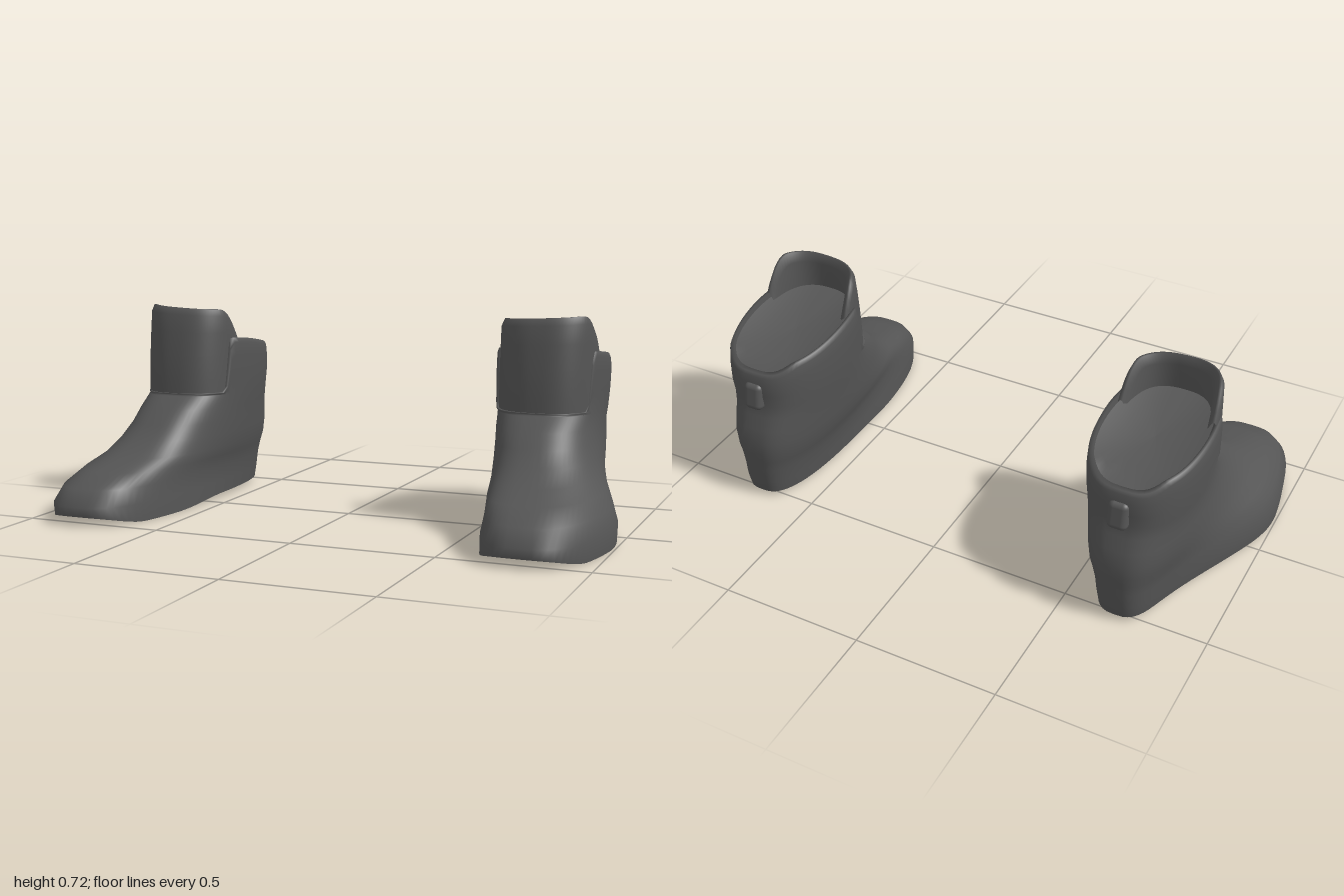
import * as THREE from 'three';
import { RoundedBoxGeometry } from 'three/addons/geometries/RoundedBoxGeometry.js';

const SEG = 72;
const { lerp, smoothstep } = THREE.MathUtils;
const material = new THREE.MeshStandardMaterial({ color: 0x555555, side: THREE.DoubleSide });
const pow = (v, e) => Math.sign(v) * Math.pow(Math.abs(v), e);

// Skins a list of rings (arrays of [x, y, z]); side -1 mirrors to the right foot.
function loft(name, rings, side, closed = true) {
  const n = rings[0].length, pos = [], index = [];
  for (const ring of rings) for (const [x, y, z] of ring) pos.push(x * side, y, z);
  for (let r = 0; r < rings.length - 1; r++) {
    for (let i = 0; i < (closed ? n : n - 1); i++) {
      const j = (i + 1) % n;
      const a = r * n + i, b = r * n + j, c = a + n, d = b + n;
      if (side > 0) index.push(a, b, d, a, d, c);
      else index.push(a, d, b, a, c, d);
    }
  }
  const geo = new THREE.BufferGeometry();
  geo.setAttribute('position', new THREE.Float32BufferAttribute(pos, 3));
  geo.setIndex(index);
  geo.computeVertexNormals();
  const mesh = new THREE.Mesh(geo, material);
  mesh.name = name;
  return mesh;
}

// Foot-shaped outline: heel and ball each have a centre x and a half width.
function footRing([y, back, front, heelX, heelW, ballX, ballW], height = () => y, scale = 1) {
  const ring = [];
  for (let i = 0; i < SEG; i++) {
    const a = (i / SEG) * Math.PI * 2;
    const z = (back + front) / 2 + ((front - back) / 2) * Math.cos(a) * scale;
    const s = smoothstep(z, -0.45, 0.2);
    const x = lerp(heelX, ballX, s) + lerp(heelW, ballW, s) * pow(Math.sin(a), 0.68) * scale;
    ring.push([x, height(z), z]);
  }
  return ring;
}

// Underside rises a little at the toe and heel
const soleY = z => 0.04 * smoothstep(z, 0.38, 0.62) + 0.016 * smoothstep(-z, -0.2, 0.1);
// Collar edge: slopes down to a rounded heel, cut away in front for the tongue
const collarY = z => lerp(0.55, 0.605, smoothstep(z, -0.6, -0.08)) - 0.035 * smoothstep(-z, 0.44, 0.52);
const rimY = z => lerp(collarY(z), 0.405, smoothstep(z, -0.11, -0.07));

const SOLE = [0, -0.53, 0.55, 0.69, 0.145, 0.783, 0.217];
// Each level: y, back z, front z, heel x, heel half width, ball x, ball half width
const LEVELS = [
  [0.065, -0.54, 0.555, 0.69, 0.152, 0.785, 0.217],
  [0.12, -0.545, 0.51, 0.688, 0.155, 0.777, 0.205],
  [0.165, -0.55, 0.41, 0.686, 0.162, 0.755, 0.2],
  [0.2, -0.555, 0.3, 0.685, 0.168, 0.735, 0.193],
  [0.25, -0.555, 0.215, 0.685, 0.172, 0.718, 0.187],
  [0.3, -0.545, 0.155, 0.683, 0.173, 0.705, 0.182],
  [0.35, -0.53, 0.11, 0.68, 0.175, 0.695, 0.178],
  [0.395, -0.52, 0.045, 0.68, 0.18, 0.687, 0.18],
];
// Collar levels: fraction of the way to the rim, back z, half width
const COLLAR = [[0.35, -0.525, 0.185], [0.7, -0.522, 0.188], [0.92, -0.518, 0.186], [1, -0.512, 0.18]];

function makeUpper(side) {
  const rings = [footRing(SOLE, soleY), ...LEVELS.map(l => footRing(l))];
  for (const [v, back, w] of COLLAR) {
    rings.push(footRing([0, back, 0.04, 0.68, w, 0.685, w], z => lerp(0.395, rimY(z), v)));
  }
  // thin edge and lining
  const lip = [0, -0.5, 0.025, 0.68, 0.17, 0.685, 0.17];
  rings.push(footRing(lip, rimY), footRing(lip, z => Math.min(rimY(z), 0.48), 0.99));
  return loft('upper', rings, side);
}

// Front tongue standing above the collar, an open arc with thickness
function makeTongue(side) {
  const row = (v, inset) => {
    const ring = [];
    for (let i = 0; i <= 40; i++) {
      const a = lerp(-1.48, 1.48, i / 40);
      const s = pow(Math.sin(a), 0.75);
      const depth = lerp(0.235, 0.195, v * v) - inset;
      const z = -0.2 + depth * pow(Math.cos(a), 0.8);
      const top = lerp(0.57, 0.718, Math.sqrt(smoothstep(z, -0.185, -0.075))) + 0.008 * s;
      ring.push([0.686 + (0.17 - inset) * s, lerp(0.37, top, v), z]);
    }
    return ring;
  };
  const rows = [0, 0.25, 0.5, 0.75, 0.93].map(v => row(v, 0));
  rows.push(row(1, 0.008), row(1, 0.016), row(0.9, 0.03), row(0.6, 0.036), row(0.2, 0.036));
  return loft('tongue', rows, side, false);
}

function makeBoot(side) {
  const boot = new THREE.Group();
  boot.name = side > 0 ? 'leftBoot' : 'rightBoot';
  boot.add(makeUpper(side), makeTongue(side));

  // flat underside
  boot.add(loft('sole', [0.001, 0.5, 1].map(s => footRing(SOLE, soleY, s)), side));

  // shallow dished filling just below the rim
  const opening = [0, -0.497, 0.005, 0.68, 0.167, 0.685, 0.16];
  const filling = [1, 0.85, 0.6, 0.3, 0.001].map(s =>
    footRing(opening, z => collarY(z) - 0.015 - 0.03 * (1 - s * s), s));
  boot.add(loft('lining', filling, side));

  // small pull tab at the heel
  const tab = new THREE.Mesh(new RoundedBoxGeometry(0.07, 0.1, 0.05, 4, 0.02), material);
  tab.name = 'heelTab';
  tab.position.set(0.68 * side, 0.43, -0.517);
  tab.rotation.x = 0.15;
  boot.add(tab);
  return boot;
}

export function createModel() {
  const model = new THREE.Group();
  model.name = 'boots';
  model.add(makeBoot(1), makeBoot(-1));
  return model;
}
